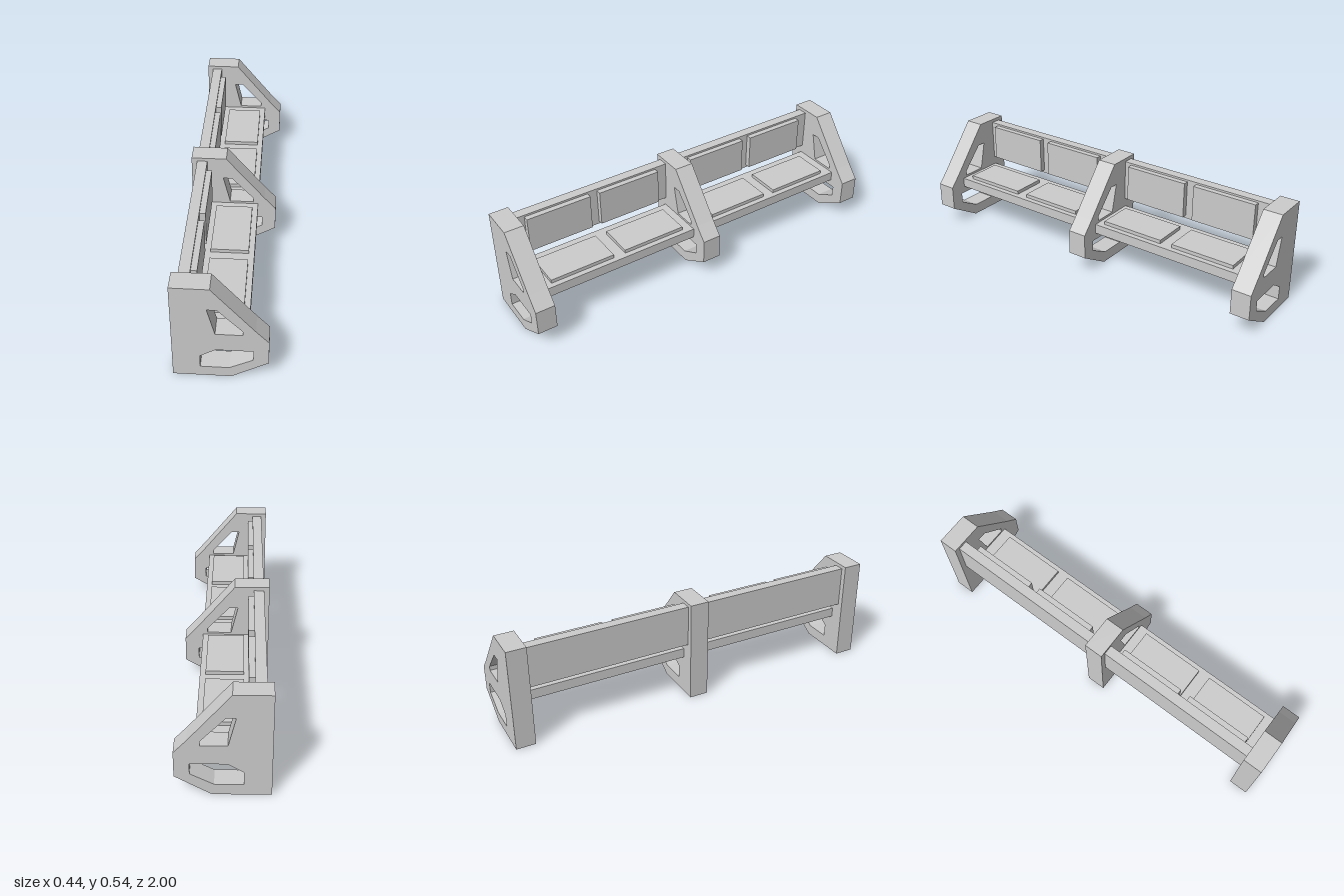
import * as THREE from 'three';

const material = new THREE.MeshStandardMaterial({ color: 0xcccccc, flatShading: true });
const toPoints = (list) => list.map(([x, y]) => new THREE.Vector2(x, y));

// Box given by its extents along each axis
function box(name, [x0, x1], [y0, y1], [z0, z1]) {
  const mesh = new THREE.Mesh(new THREE.BoxGeometry(x1 - x0, y1 - y0, z1 - z0), material);
  mesh.position.set((x0 + x1) / 2, (y0 + y1) / 2, (z0 + z1) / 2);
  mesh.name = name;
  return mesh;
}

// Upright slab with an armrest opening and a foot opening
function supportGeometry(thickness) {
  const shape = new THREE.Shape(toPoints([
    [-0.218, 0], [0.05, 0], [0.218, 0.1], [0.218, 0.231],
    [0.158, 0.298], [-0.041, 0.538], [-0.218, 0.538],
  ]));
  shape.holes.push(
    new THREE.Path(toPoints([[-0.022, 0.271], [-0.057, 0.418], [-0.013, 0.418], [0.101, 0.294], [0.101, 0.271]])),
    new THREE.Path(toPoints([[-0.092, 0.057], [-0.092, 0.126], [-0.021, 0.171], [0.148, 0.171], [0.148, 0.115], [0.04, 0.057]])),
  );
  const geometry = new THREE.ExtrudeGeometry(shape, { depth: thickness, bevelEnabled: false });
  geometry.translate(0, 0, -thickness / 2);
  return geometry;
}

export function createModel() {
  const bench = new THREE.Group();
  bench.name = 'bench';

  // Three supports: both ends and the middle
  const geometry = supportGeometry(0.1);
  for (const [name, z] of [['backSupport', -0.95], ['middleSupport', 0], ['frontSupport', 0.95]]) {
    const support = new THREE.Mesh(geometry, material);
    support.name = name;
    support.position.z = z;
    bench.add(support);
  }

  // Planks spanning each bay
  for (const span of [[-0.9, -0.05], [0.05, 0.9]]) {
    bench.add(box('seatPlank', [-0.145, 0.125], [0.208, 0.259], span));
    bench.add(box('backrestPlank', [-0.19, -0.138], [0.305, 0.52], span));
  }

  // Seat cushions and backrest cushions, two per bay
  for (const span of [[-0.838, -0.495], [-0.43, -0.088], [0.103, 0.446], [0.51, 0.855]]) {
    bench.add(box('seatCushion', [-0.09, 0.097], [0.259, 0.278], span));
  }
  for (const span of [[-0.827, -0.483], [-0.431, -0.087], [0.115, 0.459], [0.512, 0.856]]) {
    bench.add(box('backrestCushion', [-0.138, -0.109], [0.321, 0.51], span));
  }
  return bench;
}
